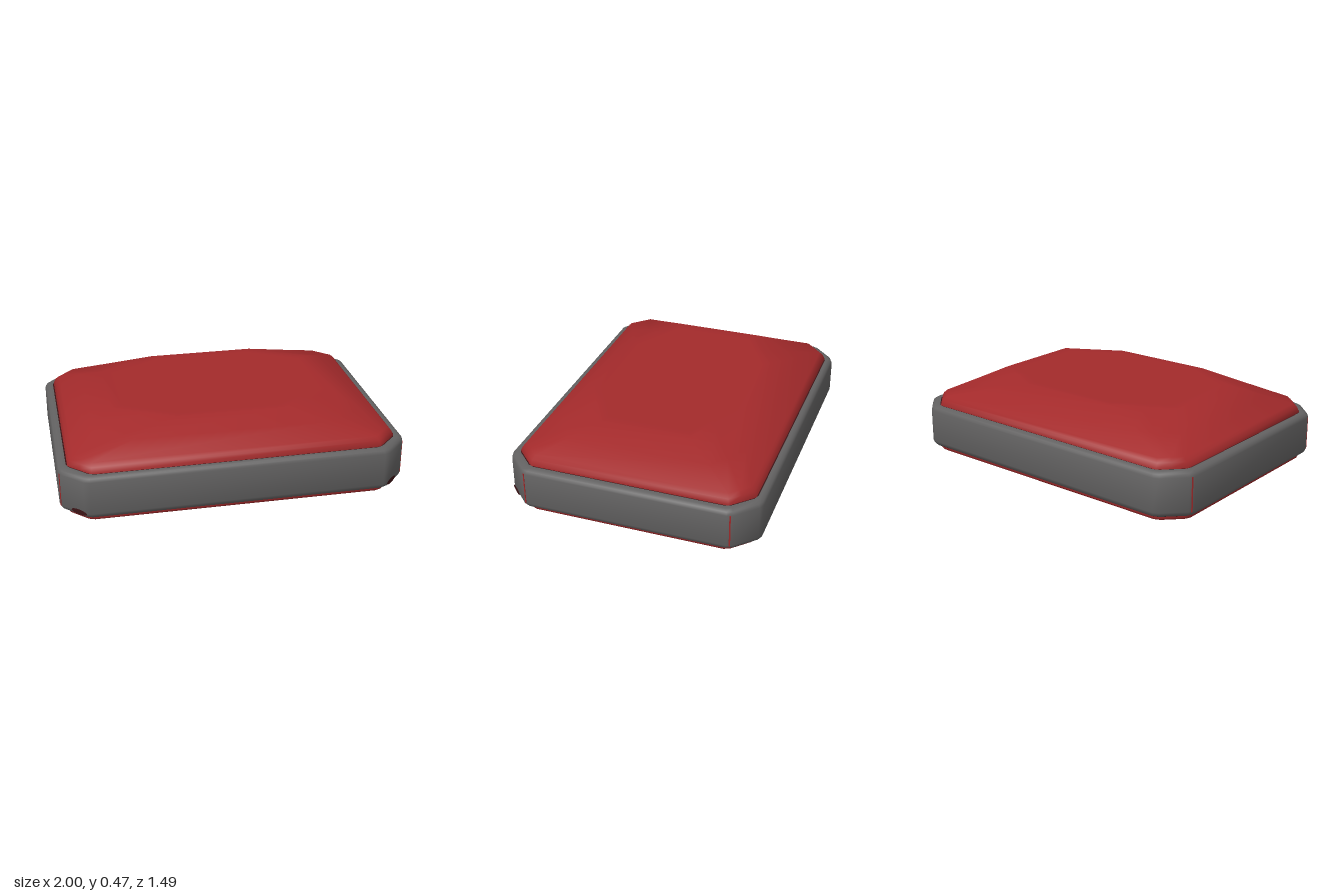
import * as THREE from 'three';
import { toCreasedNormals } from 'three/addons/utils/BufferGeometryUtils.js';

// Points across one corner (side to front) mirrored into a full ring,
// counter-clockwise when seen from above.
function ring(...quarter) {
  const back = [...quarter].reverse();
  const flip = (pts, sx, sz) => pts.map(([x, y, z]) => [x * sx, y, z * sz]);
  return [
    ...flip(back, 1, 1),
    ...flip(quarter, 1, -1),
    ...flip(back, -1, -1),
    ...flip(quarter, -1, 1),
  ];
}

// Rectangle with cut corners at height y
function cutRing(x, z, y, cut) {
  return ring([x, y, z - cut], [x - cut / 2, y, z - cut / 2], [x - cut, y, z]);
}

// Same outline with the bends of each cut corner slightly rounded
function softRing(x, z, y, cut) {
  const b = 0.02, d = b * 0.7;
  return ring(
    [x, y, z - cut - b], [x - d, y, z - cut + d],
    [x - cut + d, y, z - d], [x - cut - b, y, z]);
}

// Skin through the rings from bottom to top, closing either end on request
function loft(rings, capBottom, capTop, crease) {
  const n = rings[0].length;
  const pos = rings.flat(2);
  const index = [];
  for (let r = 0; r < rings.length - 1; r++) {
    for (let i = 0; i < n; i++) {
      const a = r * n + i, b = r * n + (i + 1) % n;
      index.push(a, b, b + n, a, b + n, a + n);
    }
  }
  const cap = (r, up) => {
    const c = pos.length / 3;
    pos.push(0, rings[r][0][1], 0);
    for (let i = 0; i < n; i++) {
      const a = r * n + i, b = r * n + (i + 1) % n;
      if (up) index.push(c, a, b);
      else index.push(c, b, a);
    }
  };
  if (capBottom) cap(0, false);
  if (capTop) cap(rings.length - 1, true);
  const geo = new THREE.BufferGeometry();
  geo.setAttribute('position', new THREE.Float32BufferAttribute(pos, 3));
  geo.setIndex(index);
  return toCreasedNormals(geo, crease);
}

// Flat elliptical mark facing +z
function ellipse(rx, ry, spin = 0) {
  return new THREE.CircleGeometry(1, 20).scale(rx, ry, 1).rotateZ(spin);
}

export function createModel() {
  const model = new THREE.Group();
  model.name = 'cutCornerCushionBlock';

  const material = (name, color) => {
    const m = new THREE.MeshStandardMaterial({ color });
    m.name = name;
    return m;
  };
  const red = material('red', 0xa32a2b);
  const grey = material('grey', 0x636262);
  const maroon = material('darkMaroon', 0x3c1416);

  const add = (name, geometry, mat) => {
    const mesh = new THREE.Mesh(geometry, mat);
    mesh.name = name;
    model.add(mesh);
    return mesh;
  };

  // Thin base plate below the band, rounded under
  add('basePlate', loft([
    softRing(0.935, 0.675, 0.002, 0.115),
    softRing(0.955, 0.695, 0.003, 0.12),
    softRing(0.96, 0.7, 0.015, 0.12),
    softRing(0.96, 0.7, 0.05, 0.12),
  ], true, false, 1.3), red);

  // Dark seam under the band
  add('lowerSeam', loft([
    softRing(0.94, 0.68, 0.028, 0.12),
    softRing(0.972, 0.715, 0.029, 0.13),
    softRing(0.982, 0.725, 0.035, 0.133),
  ], false, false, 0.9), maroon);

  // Outer band with softened edges
  add('outerBand', loft([
    softRing(0.982, 0.725, 0.035, 0.133),
    softRing(0.993, 0.736, 0.045, 0.137),
    softRing(1, 0.743, 0.065, 0.14),
    softRing(1, 0.743, 0.26, 0.14),
    softRing(0.993, 0.736, 0.28, 0.138),
    softRing(0.975, 0.718, 0.29, 0.132),
    softRing(0.952, 0.702, 0.289, 0.125),
  ], false, false, 0.9), grey);

  // Dark seam between band and crown
  add('upperSeam', loft([
    softRing(0.952, 0.702, 0.289, 0.125),
    softRing(0.935, 0.685, 0.284, 0.12),
  ], false, false, 0.9), maroon);

  // Faceted crown: short wall, sloped sides with dipped corners, flat top
  const plateau = (s) => ring(
    [0.66 * s, 0.472, 0.27 * s], [0.49 * s, 0.472, 0.365 * s], [0.32 * s, 0.472, 0.46 * s]);
  add('crown', loft([
    cutRing(0.945, 0.695, 0.27, 0.12),
    cutRing(0.945, 0.695, 0.293, 0.12),
    cutRing(0.932, 0.682, 0.32, 0.11),
    cutRing(0.91, 0.662, 0.34, 0.1),
    ring([0.785, 0.405, 0.415], [0.66, 0.388, 0.48], [0.57, 0.405, 0.56]),
    plateau(1),
    plateau(0.9),
  ], false, true, 0.9), red);

  for (const sx of [1, -1]) {
    // Hairline joints where the side panels meet the cut corners
    for (const sz of [1, -1]) {
      const joint = add('cornerJoint', new THREE.BoxGeometry(0.004, 0.2, 0.008), red);
      joint.position.set(sx * 0.993, 0.16, sz * 0.6);
      joint.rotation.y = -Math.atan2(sz * Math.sin(Math.PI / 8), sx * Math.cos(Math.PI / 8));
    }
    // Dark marks low on the front corners
    const mark = add('cornerMark', ellipse(0.055, 0.016), maroon);
    mark.position.set(sx * 0.902, 0.066, 0.704);
    mark.rotation.y = sx * Math.PI / 4;
  }

  // Dark marks on the underside
  const streak = add('undersideStreak', ellipse(0.17, 0.028, 1.31), maroon);
  streak.position.set(0.89, 0, 0.35);
  const spot = add('undersideSpot', ellipse(0.025, 0.04), maroon);
  spot.position.set(0.885, 0, -0.45);
  for (const m of [streak, spot]) m.rotation.x = Math.PI / 2;

  return model;
}
